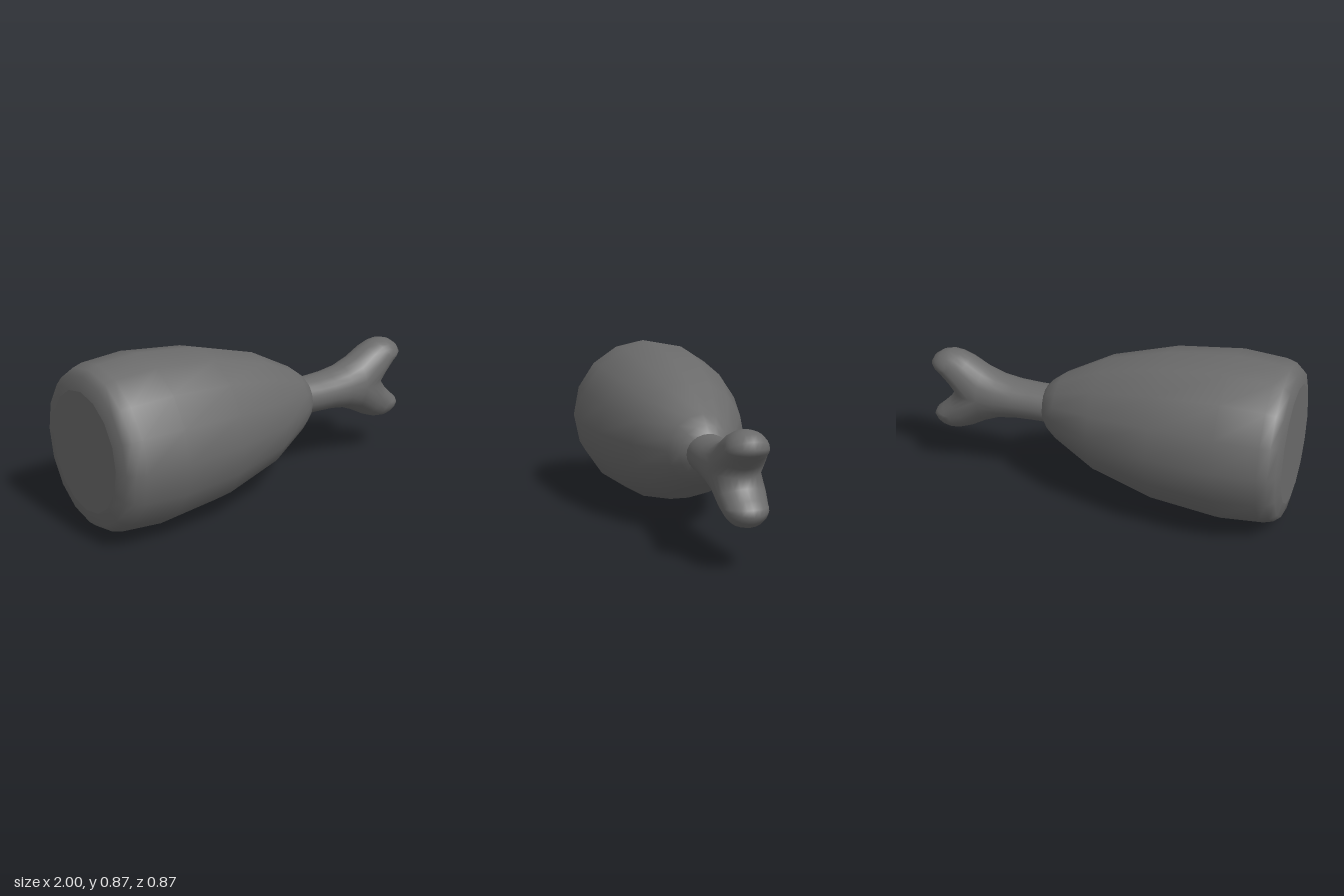
import * as THREE from 'three';
import { mergeVertices } from 'three/addons/utils/BufferGeometryUtils.js';

const AXIS_Y = 0.438; // height of the long axis

// Bone: [outline x, y, spine x, y, half depth], from the shaft round the upper knob to the notch
const RAILS = [
  [0.28, 0.1, 0.28, 0, 0.108],
  [0.4, 0.1, 0.4, 0, 0.115],
  [0.5, 0.104, 0.5, 0, 0.12],
  [0.6, 0.12, 0.6, 0, 0.125],
  [0.69, 0.157, 0.7, 0, 0.126],
  [0.77, 0.2, 0.82, 0.09, 0.118],
  [0.83, 0.222, 0.88, 0.135, 0.107],
  [0.89, 0.229, 0.88, 0.135, 0.107],
  [0.94, 0.217, 0.88, 0.135, 0.107],
  [0.98, 0.19, 0.88, 0.135, 0.107],
  [1.0, 0.155, 0.88, 0.135, 0.107],
  [0.985, 0.124, 0.88, 0.135, 0.107],
  [0.945, 0.09, 0.88, 0.135, 0.107],
  [0.897, 0.045, 0.82, 0.09, 0.118],
  [0.872, 0, 0.7, 0, 0.126],
];

// Sweeps a half-round from the front spine over the outline to the back spine
function boneGeometry(steps = 12) {
  const mirrored = RAILS.slice(0, -1).reverse().map(([px, py, sx, sy, w]) => [px, -py, sx, -sy, w]);
  const rails = [...RAILS, ...mirrored];
  const positions = [];
  const index = [];
  rails.forEach(([px, py, sx, sy, w], k) => {
    for (let j = 0; j <= steps; j++) {
      const a = (j / steps) * Math.PI;
      const s = Math.sin(a);
      positions.push(sx + (px - sx) * s, sy + (py - sy) * s, w * Math.cos(a));
      if (k < rails.length - 1 && j < steps) {
        const p = k * (steps + 1) + j;
        const q = p + steps + 1;
        index.push(p, q, p + 1, q, q + 1, p + 1);
      }
    }
  });
  const geometry = new THREE.BufferGeometry();
  geometry.setAttribute('position', new THREE.Float32BufferAttribute(positions, 3));
  geometry.setIndex(index);
  const merged = mergeVertices(geometry, 1e-4);
  merged.computeVertexNormals();
  return merged;
}

export function createModel() {
  const group = new THREE.Group();
  const material = new THREE.MeshStandardMaterial({ color: 0x6b6b6b });
  const add = (name, geometry) => {
    const mesh = new THREE.Mesh(geometry, material);
    mesh.name = name;
    mesh.position.y = AXIS_Y;
    group.add(mesh);
  };

  // Meat: a 16-sided turned body lying along x, as [radius, x]
  const profile = [
    [0.305, -1], [0.375, -0.985], [0.405, -0.95], [0.42, -0.9], [0.437, -0.68],
    [0.403, -0.34], [0.31, 0], [0.185, 0.24], [0.14, 0.3], [0.1, 0.332],
  ].map(([r, x]) => new THREE.Vector2(r, x));
  add('meat', new THREE.LatheGeometry(profile, 16).rotateZ(-Math.PI / 2));

  // Flat cut end of the meat
  add('cutEnd', new THREE.CircleGeometry(0.305, 16).rotateY(-Math.PI / 2).translate(-1, 0, 0));

  // Forked bone
  add('bone', boneGeometry());

  return group;
}
